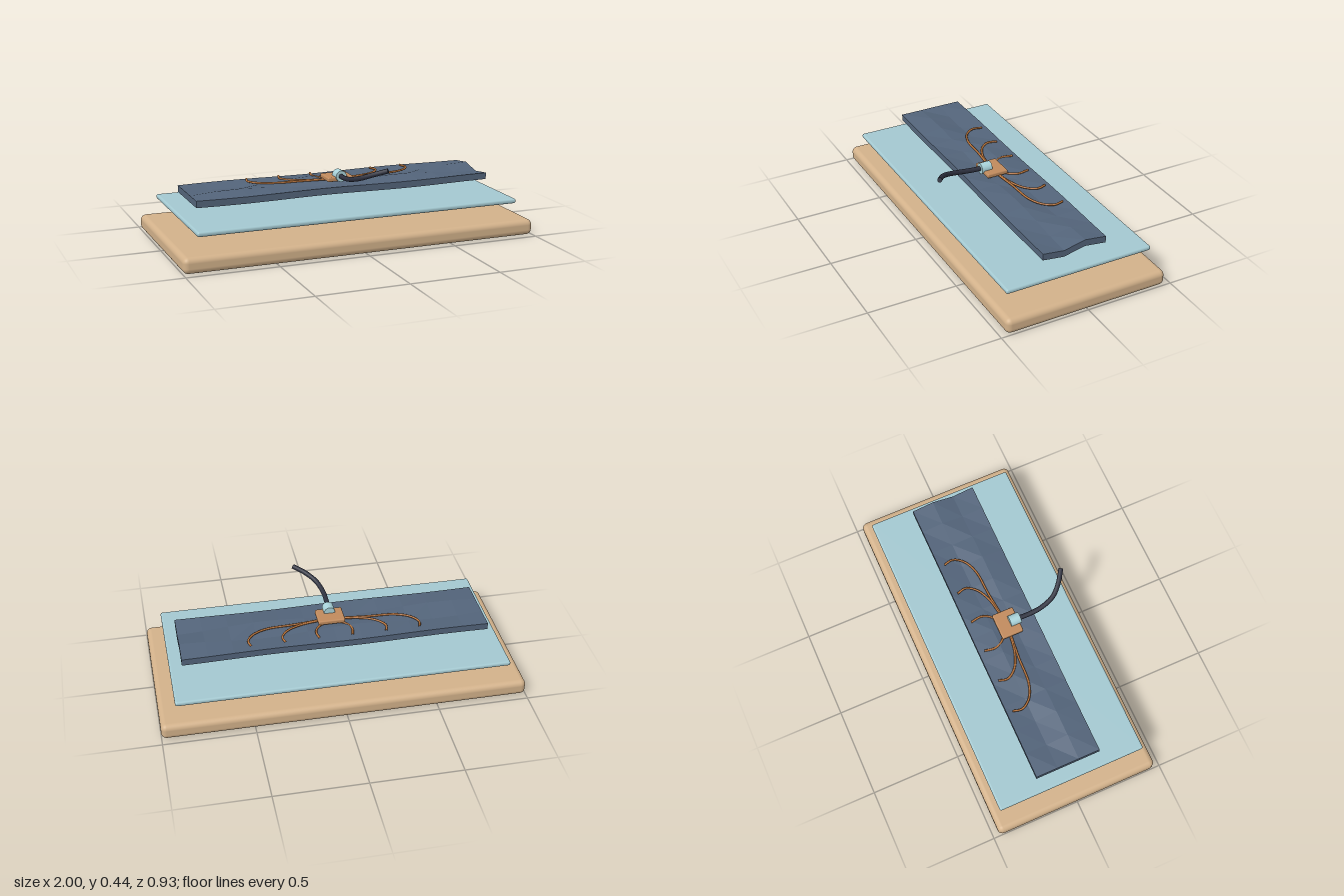
import * as THREE from 'three';
import { RoundedBoxGeometry } from 'three/addons/geometries/RoundedBoxGeometry.js';

const mat = (name, color, extra = {}) =>
  Object.assign(new THREE.MeshStandardMaterial({ color, ...extra }), { name });

export function createModel() {
  const group = new THREE.Group();
  const tan = mat('tan', 0xd2b18a);
  const paleTeal = mat('paleTeal', 0xa3c8d0);
  const slate = mat('slate', 0x53647a, { flatShading: true });
  const copper = mat('copper', 0xc08a5c);
  const wireCopper = mat('wireCopper', 0xb8743c);
  const clampTeal = mat('clampTeal', 0xa9d3da);
  const black = mat('cableBlack', 0x2d303e);

  const add = (name, geometry, material, x = 0, y = 0, z = 0) => {
    const mesh = new THREE.Mesh(geometry, material);
    mesh.name = name;
    mesh.position.set(x, y, z);
    group.add(mesh);
    return mesh;
  };
  const tube = (points, radius, segments, sides) => new THREE.TubeGeometry(
    new THREE.CatmullRomCurve3(points.map(p => new THREE.Vector3(...p))), segments, radius, sides);

  // Stacked slabs
  add('baseSlab', new RoundedBoxGeometry(2, 0.087, 0.934, 4, 0.03), tan, 0, 0.0435, 0);
  add('middleSheet', new RoundedBoxGeometry(1.826, 0.027, 0.848, 3, 0.012), paleTeal, 0, 0.1915, 0);

  // Gently rippled upper sheet
  const sheet = new THREE.BoxGeometry(1.696, 0.037, 0.37, 12, 1, 3);
  const pos = sheet.attributes.position;
  for (let i = 0; i < pos.count; i++) {
    const x = pos.getX(i), z = pos.getZ(i);
    const ripple = -0.015 * Math.sin(18 * z) * Math.cos(6.5 * (x - 0.848));
    pos.setY(i, pos.getY(i) + ripple);
  }
  sheet.computeVertexNormals();
  add('rippledSheet', sheet, slate, 0, 0.285, 0);

  // Connector block and cable clamp
  add('connectorBlock', new RoundedBoxGeometry(0.15, 0.026, 0.124, 3, 0.008), copper, 0, 0.324, 0.027);
  const clamp = new THREE.CylinderGeometry(0.031, 0.031, 0.061, 24).rotateX(Math.PI / 2);
  add('cableClamp', clamp, clampTeal, 0, 0.341, 0.068);

  // Cable with closed ends
  const path = [[0, 0.341, 0.07], [-0.004, 0.343, 0.15], [0, 0.354, 0.23],
    [0.025, 0.376, 0.31], [0.075, 0.403, 0.365], [0.14, 0.428, 0.41]];
  add('cable', tube(path, 0.0135, 32, 12), black);
  const cap = add('cableEnd', new THREE.CircleGeometry(0.0135, 12), black, ...path.at(-1));
  cap.lookAt(0.205, 0.453, 0.455);

  // Branching wires, mirrored left and right
  const branches = [
    [[0.06, 0.018], [0.2, 0.003], [0.36, -0.008], [0.44, -0.045], [0.477, -0.1], [0.466, -0.153]],
    [[0.06, 0.014], [0.17, -0.006], [0.25, -0.045], [0.289, -0.1], [0.278, -0.153]],
    [[0.05, -0.02], [0.08, -0.045], [0.1, -0.09], [0.091, -0.153]],
  ];
  for (const side of [1, -1]) {
    for (const branch of branches) {
      const points = branch.map(([x, z]) => [side * x, 0.312, z]);
      add('branchWire', tube(points, 0.006, 28, 8), wireCopper);
    }
  }
  return group;
}
